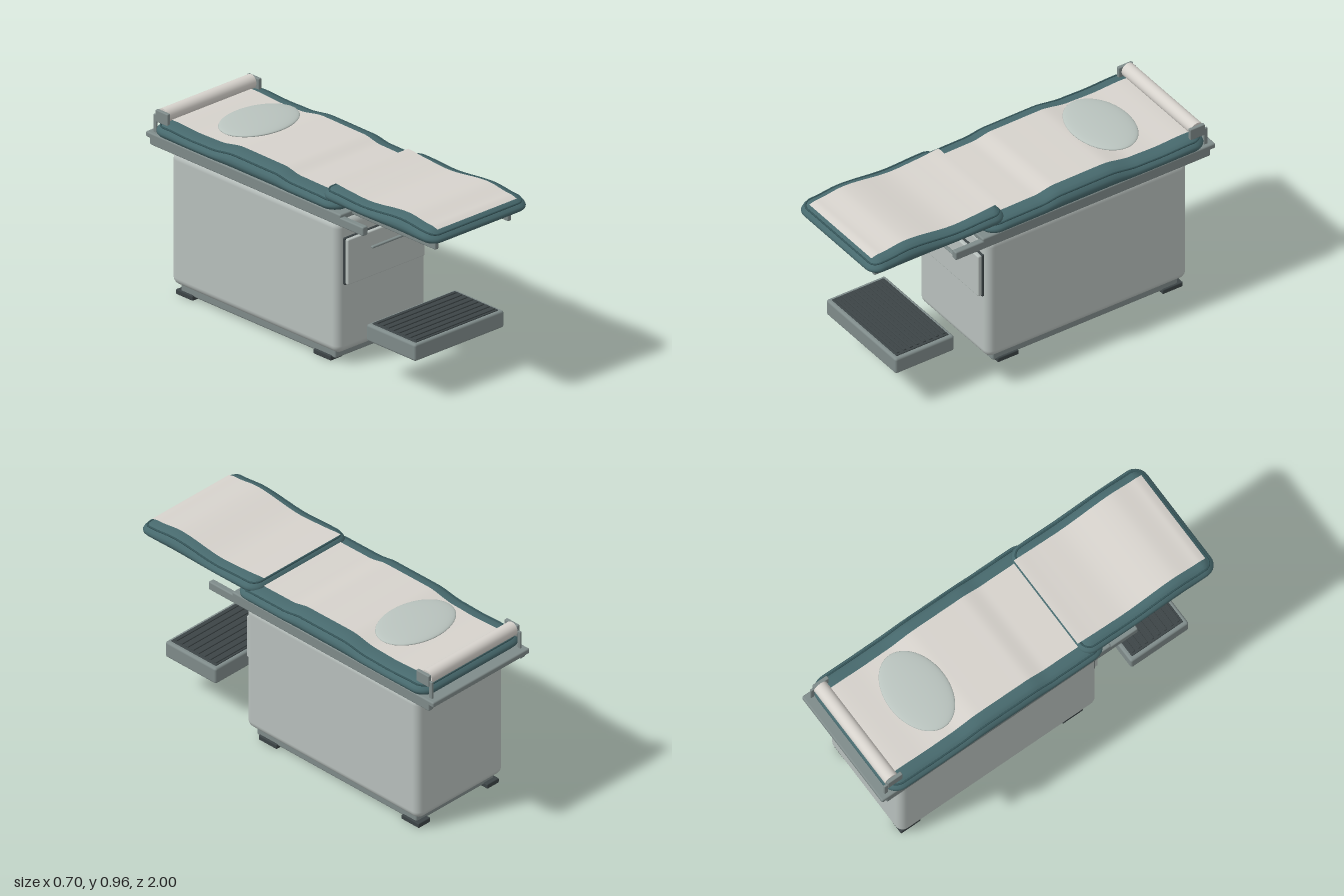
import * as THREE from 'three';
import { RoundedBoxGeometry } from 'three/addons/geometries/RoundedBoxGeometry.js';

const paint = (color) => new THREE.MeshStandardMaterial({ color });
const body = paint(0xb8c0bd), trim = paint(0x7f8b8a), dark = paint(0x3c4446);
const vinyl = paint(0x47696d), piping = paint(0x36565a), cloth = paint(0xb9c3be);
const paper = paint(0xd6d2cc);
paper.side = THREE.DoubleSide;

// Smooth height along z from a few [z, y] keys, in ascending z
const heights = (keys) => (z) => {
  if (z <= keys[0][0]) return keys[0][1];
  for (let i = 1; i < keys.length; i++) {
    const [z0, y0] = keys[i - 1], [z1, y1] = keys[i];
    if (z <= z1) return THREE.MathUtils.lerp(y0, y1, THREE.MathUtils.smoothstep(z, z0, z1));
  }
  return keys[keys.length - 1][1];
};

// Rounded rectangle in plan as [x, z] points, subdivided along its sides
function outline(hw, z0, z1, radius, inset) {
  const r = Math.max(radius - inset, 0.02), cx = hw - inset - r;
  const zc = (z0 + z1) / 2, cz = (z1 - z0) / 2 - inset - r, pts = [];
  const signs = [[1, 1], [-1, 1], [-1, -1], [1, -1]];
  signs.forEach(([sx, sz], k) => {
    for (let j = 0; j <= 8; j++) {
      const a = (k + j / 8) * Math.PI / 2;
      pts.push([sx * cx + r * Math.cos(a), zc + sz * cz + r * Math.sin(a)]);
    }
    const [x, z] = pts[pts.length - 1], [nx, nz] = signs[(k + 1) % 4];
    const n = k % 2 ? 48 : 12, dx = (nx - sx) * cx, dz = (nz - sz) * cz;
    for (let j = 1; j < n; j++) pts.push([x + dx * j / n, z + dz * j / n]);
  });
  return pts;
}

// Upholstered pad lofted from plan outlines: [inset, height fraction, x scale]
function cushion(name, hw, z0, z1, radius, yBase, top) {
  const rings = [
    [0.05, 0, 0], [0.05, 0, 1], [0.03, 0.03, 1], [0.012, 0.14, 1], [0.002, 0.3, 1], [0, 0.45, 1],
    [0.005, 0.6, 1], [0.017, 0.74, 1], [0.026, 0.8, 1], [0.032, 0.88, 1], [0.045, 0.95, 1],
    [0.065, 0.99, 1], [0.085, 1, 1], [0.085, 1, 0],
  ];
  const pos = [], index = [];
  let n = 0;
  rings.forEach(([inset, f, sx]) => {
    const pts = outline(hw, z0, z1, radius, inset);
    n = pts.length;
    for (const [x, z] of pts) pos.push(x * sx, yBase + f * (top(z) - yBase), z);
  });
  for (let i = 0; i < rings.length - 1; i++) {
    for (let j = 0; j < n; j++) {
      const a = i * n + j, b = i * n + (j + 1) % n, c = a + n, d = b + n;
      index.push(a, c, b, b, c, d);
    }
  }
  const geo = new THREE.BufferGeometry();
  geo.setAttribute('position', new THREE.Float32BufferAttribute(pos, 3));
  geo.setIndex(index);
  geo.computeVertexNormals();

  const group = new THREE.Group();
  group.name = name;
  const pad = new THREE.Mesh(geo, vinyl);
  pad.name = name + 'Pad';
  // Welt sewn round the upper edge
  const path = outline(hw, z0, z1, radius, 0.022)
    .map(([x, z]) => new THREE.Vector3(x, yBase + 0.8 * (top(z) - yBase), z));
  const welt = new THREE.Mesh(
    new THREE.TubeGeometry(new THREE.CatmullRomCurve3(path, true), 240, 0.005, 6, true), piping);
  welt.name = name + 'Piping';
  group.add(pad, welt);
  return group;
}

// Paper sheet following the pad
function sheet(name, z0, z1, top) {
  const geo = new THREE.PlaneGeometry(0.525, z1 - z0, 1, 60).rotateX(-Math.PI / 2);
  geo.translate(0, 0, (z0 + z1) / 2);
  const p = geo.attributes.position;
  for (let i = 0; i < p.count; i++) p.setY(i, top(p.getZ(i)) + 0.005);
  geo.computeVertexNormals();
  const mesh = new THREE.Mesh(geo, paper);
  mesh.name = name;
  return mesh;
}

export function createModel() {
  const model = new THREE.Group();
  model.name = 'examinationTable';

  // Rounded box given by its extents
  const box = (name, mat, [x0, x1], [y0, y1], [z0, z1], r = 0.005) => {
    const mesh = new THREE.Mesh(new RoundedBoxGeometry(x1 - x0, y1 - y0, z1 - z0, 4, r), mat);
    mesh.position.set((x0 + x1) / 2, (y0 + y1) / 2, (z0 + z1) / 2);
    mesh.name = name;
    model.add(mesh);
  };
  // The same box on both sides
  const pair = (name, mat, [x0, x1], y, z, r) => {
    box(name + 'Left', mat, [x0, x1], y, z, r);
    box(name + 'Right', mat, [-x1, -x0], y, z, r);
  };

  // Base cabinet
  box('cabinet', body, [-0.295, 0.295], [0.055, 0.757], [-0.863, 0.307], 0.042);
  box('plinth', trim, [-0.265, 0.265], [0.015, 0.075], [-0.82, 0.258], 0.01);
  pair('frontFoot', dark, [0.195, 0.275], [0, 0.026], [0.113, 0.235]);
  pair('backFoot', dark, [0.195, 0.275], [0, 0.026], [-0.845, -0.727]);

  // Drawer front with its pull
  box('drawerGap', dark, [-0.26, 0.26], [0.419, 0.668], [0.3, 0.318], 0.006);
  box('drawerFront', body, [-0.255, 0.255], [0.424, 0.663], [0.3, 0.336], 0.007);
  box('drawerPull', trim, [-0.126, 0.126], [0.589, 0.6], [0.355, 0.373], 0.005);

  // Pull-out step with ribbed tread
  box('step', trim, [-0.295, 0.295], [0.2, 0.289], [0.503, 0.845], 0.012);
  box('treadMat', dark, [-0.274, 0.274], [0.28, 0.294], [0.522, 0.826], 0.004);
  for (let i = 0; i < 8; i++) {
    const z = 0.541 + i * 0.038;
    box('treadRib', dark, [-0.262, 0.262], [0.288, 0.3], [z - 0.009, z + 0.009], 0.003);
  }

  // Bed frame, side rails and leg-rest runners
  box('bedFrame', trim, [-0.33, 0.33], [0.797, 0.826], [-0.997, 0.36], 0.008);
  box('framePedestal', trim, [-0.24, 0.24], [0.75, 0.8], [-0.82, 0.25]);
  pair('sideRail', trim, [0.297, 0.33], [0.764, 0.811], [-0.968, 0.518], 0.007);
  pair('legRestRunner', trim, [0.229, 0.253], [0.807, 0.845], [0.2, 0.94], 0.006);
  pair('legRestSpacer', trim, [0.23, 0.252], [0.84, 0.868], [0.42, 0.86]);

  // Cushions and paper
  const bedTop = heights([[-0.95, 0.892], [-0.85, 0.896], [-0.68, 0.889], [-0.55, 0.892],
    [-0.38, 0.916], [-0.1, 0.914], [0.02, 0.895], [0.2, 0.893], [0.337, 0.885]]);
  const legTop = heights([[0.21, 0.93], [0.3, 0.928], [0.48, 0.92], [0.77, 0.948],
    [0.92, 0.932], [1, 0.915]]);
  model.add(cushion('bedCushion', 0.35, -0.952, 0.337, 0.085, 0.823, bedTop));
  model.add(cushion('legRestCushion', 0.33, 0.208, 1, 0.07, 0.858, legTop));
  model.add(sheet('bedPaper', -0.9, 0.25, bedTop));
  model.add(sheet('legRestPaper', 0.21, 0.965,
    (z) => legTop(z) + 0.008 * (1 - THREE.MathUtils.smoothstep(z, 0.21, 0.35))));

  // Oval head pillow
  const pillow = new THREE.Mesh(new THREE.SphereGeometry(1, 48, 20), cloth);
  pillow.scale.set(0.227, 0.02, 0.157);
  pillow.position.set(0, 0.924, -0.553);
  pillow.name = 'headPillow';
  model.add(pillow);

  // Paper roll, its brackets and their posts
  const roll = new THREE.Mesh(new THREE.CylinderGeometry(0.037, 0.037, 0.585, 32), paper);
  roll.rotation.z = Math.PI / 2;
  roll.position.set(0, 0.921, -0.915);
  roll.name = 'paperRoll';
  model.add(roll);
  pair('rollBracket', trim, [0.292, 0.312], [0.885, 0.949], [-0.948, -0.862], 0.005);
  pair('rollPost', trim, [0.296, 0.308], [0.82, 0.92], [-0.966, -0.945], 0.004);

  return model;
}
